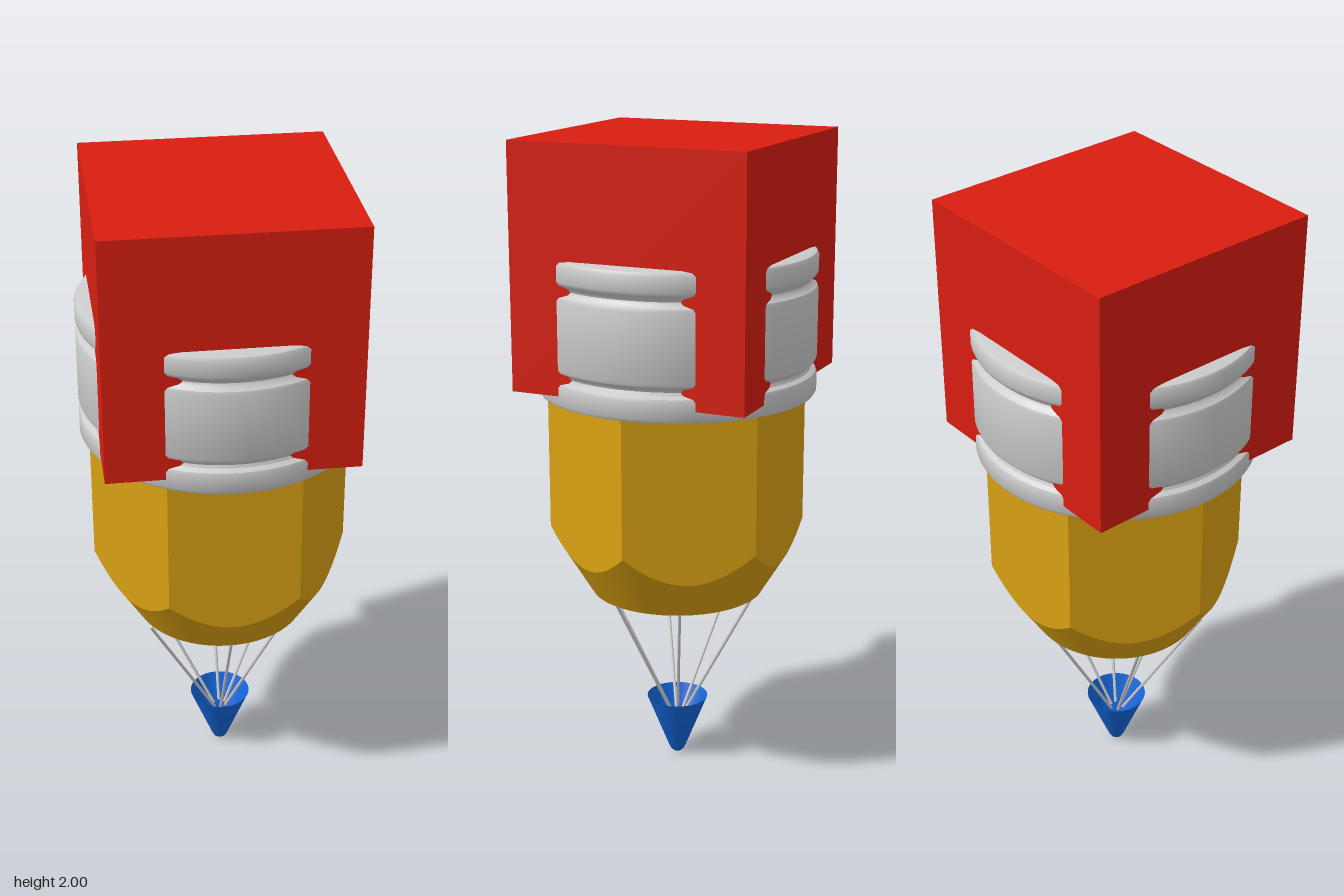
import * as THREE from 'three';
import { toCreasedNormals } from 'three/addons/utils/BufferGeometryUtils.js';

const material = (color, side = THREE.FrontSide) => new THREE.MeshStandardMaterial({ color, side });
const grey = material(0xcccccc);
const red = material(0xd81e10);
const yellow = material(0xd8a012, THREE.DoubleSide);
const blue = material(0x1464d8, THREE.DoubleSide);

const APOTHEM = 0.345, RIM_Y = 0.58, RIM_R = 0.27, TOP_Y = 1.23, CEILING_Y = 0.84;

function add(group, name, geometry, mat) {
  const mesh = new THREE.Mesh(geometry, mat);
  mesh.name = name;
  group.add(mesh);
  return mesh;
}

function lathe(points, segments) {
  const profile = points.map(([r, y]) => new THREE.Vector2(r, y));
  return toCreasedNormals(new THREE.LatheGeometry(profile, segments), 0.6);
}

// Distance from the axis to the hexagon's wall, with corners on the x axis
function hexRadius(angle) {
  const sector = Math.PI / 3;
  const local = angle - Math.floor(angle / sector + 1e-6) * sector;
  return APOTHEM / Math.cos(local - sector / 2);
}

// Hexagonal shaft trimmed by a cone, which leaves the scalloped edge
function bodyGeometry() {
  const n = 96, positions = [], index = [];
  for (let i = 0; i <= n; i++) {
    const a = (i / n) * Math.PI * 2;
    const r = hexRadius(a);
    const cutY = RIM_Y + (r - RIM_R) * 1.65;
    for (const [radius, y] of [[RIM_R, RIM_Y], [r, cutY], [r, TOP_Y]]) {
      positions.push(radius * Math.cos(a), y, radius * Math.sin(a));
    }
  }
  for (let i = 0; i < n; i++) {
    for (let j = 0; j < 2; j++) {
      const p = i * 3 + j, q = p + 3;
      index.push(p, p + 1, q, q, p + 1, q + 1);
    }
  }
  const geometry = new THREE.BufferGeometry();
  geometry.setAttribute('position', new THREE.Float32BufferAttribute(positions, 3));
  geometry.setIndex(index);
  return toCreasedNormals(geometry, 0.3);
}

export function createModel() {
  const group = new THREE.Group();
  group.name = 'pencil';

  // Eraser block
  add(group, 'eraser', new THREE.BoxGeometry(0.743, 0.74, 0.743), red).position.set(-0.007, 1.63, 0.002);

  // Ferrule band with two pressed grooves
  const ferrule = [
    [0, 1.22], [0.405, 1.22], [0.42, 1.225], [0.426, 1.235], [0.426, 1.285], [0.422, 1.295],
    [0.408, 1.303], [0.404, 1.312], [0.408, 1.321], [0.422, 1.33], [0.426, 1.34],
    [0.426, 1.545], [0.422, 1.555], [0.408, 1.564], [0.404, 1.573], [0.408, 1.582],
    [0.422, 1.592], [0.426, 1.602], [0.426, 1.648], [0.42, 1.658], [0.405, 1.662], [0, 1.662],
  ];
  add(group, 'ferrule', lathe(ferrule, 72), grey);

  // Hollow hexagonal body and the ceiling inside its nose
  add(group, 'body', bodyGeometry(), yellow);
  const ceiling = new THREE.CircleGeometry(APOTHEM / Math.cos(Math.PI / 6) - 0.002, 6).rotateX(Math.PI / 2);
  add(group, 'bodyCeiling', ceiling, yellow).position.y = CEILING_Y;

  // Thin wires from the nose rim down into the tip: [x, z] at the rim
  const anchors = [[0, 0.272], [0, -0.262], [-0.24, 0.155], [-0.24, -0.105], [0.205, 0.13], [0.205, -0.1]];
  for (const [x, z] of anchors) {
    const wire = new THREE.LineCurve3(
      new THREE.Vector3(x, RIM_Y + 0.01, z),
      new THREE.Vector3(x * 0.08, 0.14, z * 0.08),
    );
    add(group, 'wire', new THREE.TubeGeometry(wire, 1, 0.005, 8), grey);
  }

  // Open cone tip with a rounded point
  const tip = [[0, 0.002], [0.012, 0.004], [0.021, 0.012], [0.028, 0.026], [0.097, 0.2]];
  add(group, 'tip', lathe(tip, 32), blue);

  return group;
}
